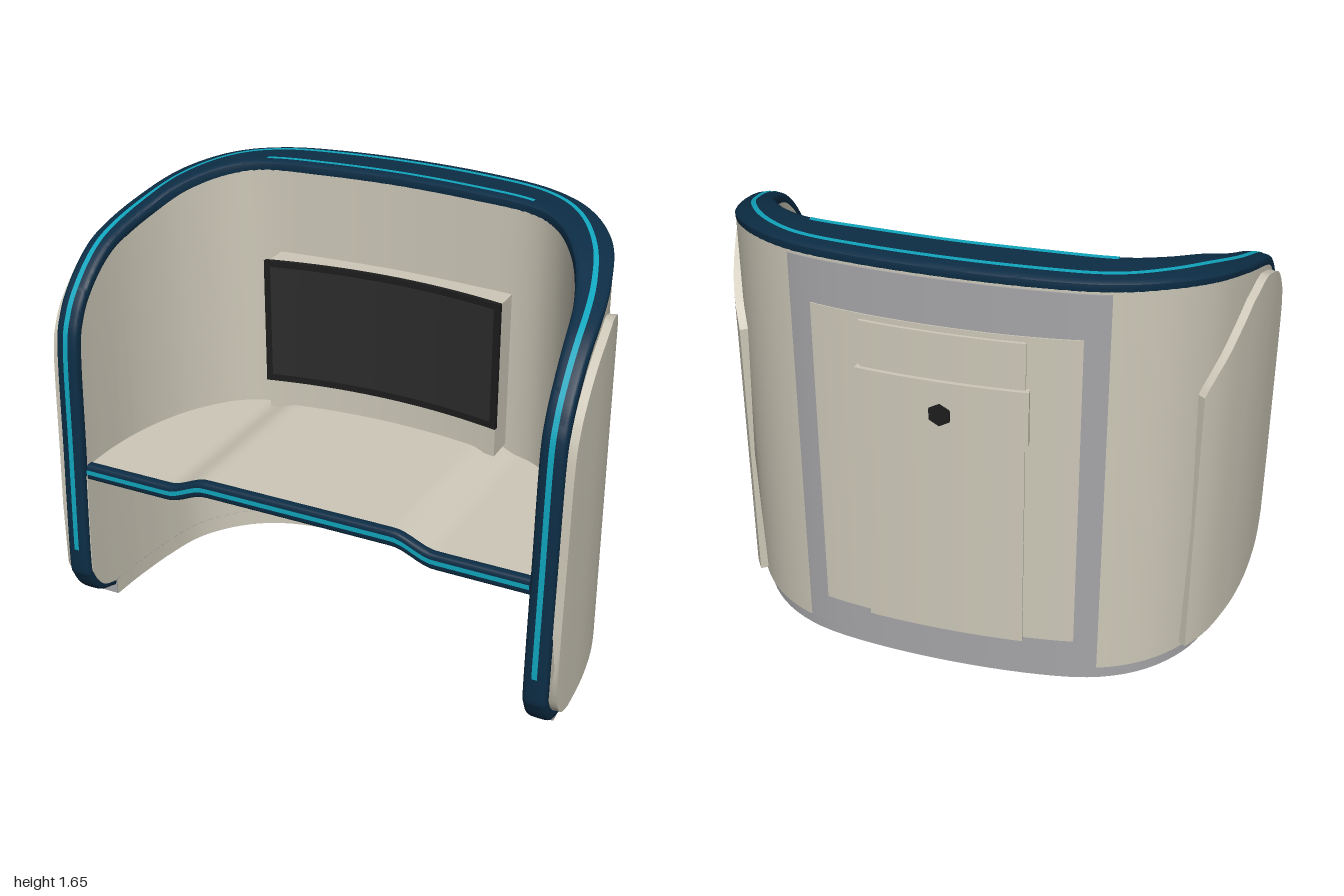
import * as THREE from 'three';
import { toCreasedNormals } from 'three/addons/utils/BufferGeometryUtils.js';

const V = (x, y, z) => new THREE.Vector3(x, y, z);
const mat = (name, color) => {
  const m = new THREE.MeshStandardMaterial({ color, side: THREE.DoubleSide });
  m.name = name;
  return m;
};

// Skin a row of cross-sections; caps close the first and last one
function loft(sections, { closed = false, caps = false } = {}) {
  const rows = [...sections];
  if (caps) {
    const flat = (s) => {
      const c = s.reduce((a, p) => a.add(p), V(0, 0, 0)).divideScalar(s.length);
      return s.map(() => c);
    };
    rows.unshift(flat(rows[0]));
    rows.push(flat(rows[rows.length - 1]));
  }
  const n = rows[0].length, pos = [], idx = [];
  rows.forEach((s) => s.forEach((p) => pos.push(p.x, p.y, p.z)));
  for (let i = 0; i < rows.length - 1; i++) {
    for (let j = 0; j < (closed ? n : n - 1); j++) {
      const k = (j + 1) % n, a = i * n + j, b = i * n + k, c = a + n, d = b + n;
      idx.push(a, b, c, b, d, c);
    }
  }
  const g = new THREE.BufferGeometry();
  g.setAttribute('position', new THREE.Float32BufferAttribute(pos, 3));
  g.setIndex(idx);
  return toCreasedNormals(g, 0.6);
}

// Linear lookup in [key, value] pairs sorted by key
function lookup(table, k) {
  if (k <= table[0][0]) return table[0][1];
  for (let i = 1; i < table.length; i++) {
    const [a, va] = table[i - 1], [b, vb] = table[i];
    if (k <= b) return b > a ? va + ((vb - va) * (k - a)) / (b - a) : vb;
  }
  return table[table.length - 1][1];
}

// Samples from a to b, denser towards the ends
const spread = (a, b, n) =>
  Array.from({ length: n + 1 }, (_, i) => (a + b) / 2 + ((b - a) / 2) * Math.sin((i / n - 0.5) * Math.PI));

// Half plan of the wall from back centre to front: outer x, z and inner x, z
const PLAN = [
  [0, -0.52, 0, -0.3], [0.3, -0.505, 0.3, -0.287], [0.54, -0.46, 0.53, -0.262],
  [0.72, -0.36, 0.66, -0.19], [0.85, -0.2, 0.76, -0.06], [0.92, 0, 0.82, 0.07],
  [0.955, 0.2, 0.86, 0.22], [0.967, 0.4, 0.88, 0.4], [0.97, 0.56, 0.885, 0.56],
];
const planCurve = (o) => {
  const half = PLAN.map((r) => V(r[o], 0, r[o + 1]));
  const mirror = half.slice(1).reverse().map((p) => V(-p.x, 0, p.z));
  return new THREE.CatmullRomCurve3([...mirror, ...half], false, 'catmullrom', 0.5);
};
const outerCurve = planCurve(0), innerCurve = planCurve(2);
const outer = (u, y) => outerCurve.getPoint((u + 8) / 16).setY(y);
const inner = (u, y) => innerCurve.getPoint((u + 8) / 16).setY(y);
const outward = (u) => {
  const t = outerCurve.getTangent((u + 8) / 16);
  return V(t.z, 0, -t.x).normalize();
};
const offset = (u, y, d) => outer(u, y).addScaledVector(outward(u), d);

// Rim line as plan position and height: along the top, down the front, round the foot
const RIM = [
  [0, 1.62], [1, 1.618], [2, 1.612], [3, 1.597], [4, 1.56], [5, 1.505], [6, 1.445], [6.5, 1.395],
  [7, 1.31], [7.38, 1.22], [7.6, 1.09], [7.72, 0.7], [7.85, 0.25], [7.77, 0.16], [7.45, 0.09], [6.95, 0.06],
];
const rimPoints = [...RIM.slice(1).reverse().map(([u, y]) => V(-u, y, 0)), ...RIM.map(([u, y]) => V(u, y, 0))];
const rim = new THREE.CatmullRomCurve3(rimPoints, false, 'catmullrom', 0.5).getPoints(300);
const halfRim = rim.slice(150);
const tip = halfRim.reduce((m, p, i) => (p.x > halfRim[m].x ? i : m), 0);
const topTable = halfRim.slice(0, tip + 1).map((p) => [p.x, p.y]);
const lowTable = halfRim.slice(tip).reverse().map((p) => [p.x, p.y]);
const topY = (u) => lookup(topTable, Math.abs(u));
const lowY = (u) => lookup(lowTable, Math.abs(u));
const tipU = halfRim[tip].x;

// Rounded box outline in the plane of two axes
const roundSection = (c, a, b, n = 20) =>
  Array.from({ length: n }, (_, i) => {
    const t = (i / n) * Math.PI * 2, f = (w) => Math.sign(w) * Math.sqrt(Math.abs(w));
    return c.clone().addScaledVector(a, f(Math.cos(t))).addScaledVector(b, f(Math.sin(t)));
  });

export function createModel() {
  const model = new THREE.Group();
  const beige = mat('beige', 0xcdc8b8), grey = mat('grey', 0xa6a6a9), navy = mat('navy', 0x0c2d45);
  const cyan = mat('cyan', 0x10a6be), black = mat('black', 0x1d1d1d), charcoal = mat('charcoal', 0x2c2c2c);
  const add = (name, geometry, material) => {
    const m = new THREE.Mesh(geometry, material);
    m.name = name;
    model.add(m);
    return m;
  };
  const solid = { closed: true, caps: true };

  // Curved wall, thinner below the desk
  const thin = (u, y) => {
    const o = outer(u, y);
    return o.add(inner(u, y).sub(o).setLength(0.09));
  };
  add('wall', loft(spread(-tipU, tipU, 120).map((u) => {
    const t = topY(u), b = lowY(u), m = Math.max(b, Math.min(0.6, t));
    return [outer(u, t), outer(u, b), thin(u, b), thin(u, m), inner(u, m), inner(u, t)];
  })), beige);

  // Plinth with a wall-coloured inner skirt
  const feet = spread(-6.97, 6.97, 90);
  add('plinth', loft(feet.map((u) => [offset(u, 0.065, -0.018), offset(u, 0, -0.018), thin(u, 0), thin(u, 0.065)]),
    { caps: true }), grey);
  add('innerSkirt', loft(feet.map((u) => [0, 0.065].map((y) => {
    const p = thin(u, y);
    return p.addScaledVector(outward(u), -0.003);
  }))), beige);

  // Padded rim trim and its inlaid stripes
  const frames = rim.map((p, i) => {
    const a = rim[Math.max(0, i - 1)], b = rim[Math.min(rim.length - 1, i + 1)];
    const mid = (q) => outer(q.x, q.y).add(inner(q.x, q.y)).multiplyScalar(0.5);
    const across = outer(p.x, p.y).sub(inner(p.x, p.y)).multiplyScalar(0.5);
    const up = mid(b).sub(mid(a)).cross(across).normalize();
    return { u: p.x, y: p.y, c: mid(p), across, up };
  });
  add('rimTrim', loft(frames.map((f) =>
    roundSection(f.c, f.across.clone().multiplyScalar(1.02), f.up.clone().multiplyScalar(0.026))), solid), navy);
  const stripe = (name, keep, place) => add(name, loft(frames.filter(keep).map((f) =>
    [-0.01, 0.01].map((w) => f.c.clone().addScaledVector(f.up, 0.0285)
      .addScaledVector(f.across, place(f) + w / f.across.length())))), cyan);
  stripe('outerStripe', (f) => f.y > 0.28, (f) => 0.45 * (1 - THREE.MathUtils.smoothstep(Math.abs(f.u), 1.5, 4.5)));
  stripe('innerStripe', (f) => Math.abs(f.u) < 2.05, () => -0.7);

  // Plates that follow the outside of the wall
  const plate = (name, u0, u1, low, high, d, material, n = 40) =>
    add(name, loft(spread(u0, u1, n).map((u) => {
      const h = high(u), l = Math.min(low(u), h);
      return [outer(u, l), offset(u, l, d), offset(u, h, d), outer(u, h)];
    }), { caps: true }), material);
  const shoulder = [[3.7, 1.15], [3.8, 1.18], [4, 1.225], [4.5, 1.32], [5, 1.4], [5.4, 1.432], [5.8, 1.44], [8, 1.44]];
  for (const s of [1, -1]) {
    const [a, b] = [3.7 * s, 7.79 * s].sort((p, q) => p - q);
    plate(s > 0 ? 'leftSidePanel' : 'rightSidePanel', a, b, (u) => Math.max(0.07, lowY(u) + 0.02),
      (u) => Math.min(lookup(shoulder, Math.abs(u)), topY(u) - 0.03), 0.03, beige, 60);
  }
  plate('backBorder', -2.05, 2.05, () => 0.062, (u) => topY(u) - 0.02, 0.005, grey);
  plate('backInset', -1.67, 1.67, () => 0.19, () => 1.43, 0.009, beige);
  plate('backDoor', -0.95, 0.95, () => 0.18, () => 1.41, 0.02, beige);
  plate('backFlap', -1, 1, (u) => 0.9 + 0.13 * Math.abs(u) ** 5, () => 1.235, 0.034, beige);
  const knob = add('backKnob', new THREE.CylinderGeometry(0.042, 0.042, 0.02, 6), black);
  knob.rotation.x = Math.PI / 2;
  knob.position.set(0, 1.11, -0.552);

  // Desk with a raised middle, running back to the wall
  const deskY = (x) => 0.685 - 0.05 * THREE.MathUtils.smoothstep(Math.abs(x), 0.37, 0.53);
  const wallZ = spread(0, 8, 80).map((u) => inner(u, 0)).map((p) => [p.x, p.z]);
  const xs = spread(-0.878, 0.878, 90);
  add('desk', loft(xs.map((x) => {
    const y = deskY(x), back = lookup(wallZ, Math.abs(x)) - 0.03;
    return [V(x, y, 0.5), V(x, y - 0.05, 0.5), V(x, y - 0.05, back), V(x, y, back)];
  }), solid), beige);
  add('deskTrim', loft(xs.map((x) =>
    roundSection(V(x, deskY(x) - 0.025, 0.503), V(0, 0, 0.02), V(0, 0.031, 0))), solid), navy);
  add('deskStripe', loft(xs.map((x) => [-0.009, 0.009].map((w) => V(x, deskY(x) - 0.022 + w, 0.5255)))), cyan);

  // Concave display on a housing that joins the back wall
  const bow = (x) => -0.2 + 0.055 * (x / 0.475) ** 2;
  const slab = (name, w, y0, y1, front, back, material) => add(name, loft(
    Array.from({ length: 25 }, (_, i) => (i / 12 - 1) * w).map((x) =>
      [V(x, y1, front(x)), V(x, y0, front(x)), V(x, y0, back(x)), V(x, y1, back(x))]), solid), material);
  slab('displayHousing', 0.472, 0.67, 1.28, (x) => bow(x) - 0.014, () => -0.34, beige);
  slab('displayFrame', 0.478, 0.79, 1.288, bow, (x) => bow(x) - 0.018, black);
  slab('displayScreen', 0.453, 0.818, 1.264, (x) => bow(x) + 0.003, (x) => bow(x) - 0.004, charcoal);

  return model;
}
